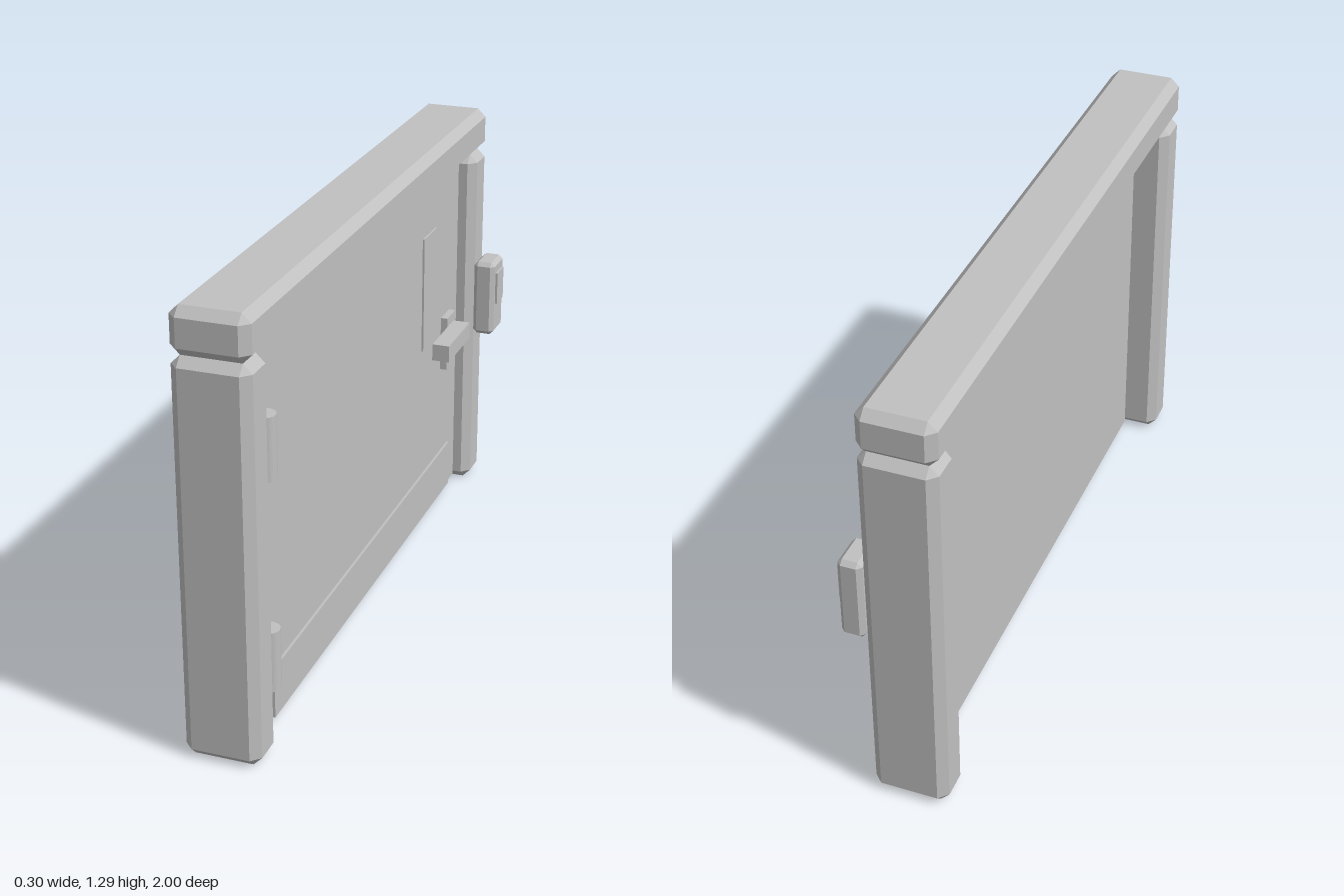
import * as THREE from 'three';
import { ConvexGeometry } from 'three/addons/geometries/ConvexGeometry.js';

// Box between two corners with chamfered edges and corners
function chamferedBox([x0, y0, z0], [x1, y1, z1], c) {
  const center = [(x0 + x1) / 2, (y0 + y1) / 2, (z0 + z1) / 2];
  const half = [(x1 - x0) / 2, (y1 - y0) / 2, (z1 - z0) / 2];
  const points = [];
  for (const sx of [-1, 1]) for (const sy of [-1, 1]) for (const sz of [-1, 1]) {
    const s = [sx, sy, sz];
    // Each corner becomes three points, one on each adjoining face
    for (let face = 0; face < 3; face++) {
      points.push(new THREE.Vector3(...s.map((v, i) => center[i] + v * (half[i] - (i === face ? 0 : c)))));
    }
  }
  return new ConvexGeometry(points);
}

// Plain box between two corners
function box([x0, y0, z0], [x1, y1, z1]) {
  return new THREE.BoxGeometry(x1 - x0, y1 - y0, z1 - z0)
    .translate((x0 + x1) / 2, (y0 + y1) / 2, (z0 + z1) / 2);
}

export function createModel() {
  const model = new THREE.Group();
  model.name = 'door';
  const grey = new THREE.MeshStandardMaterial({ color: 0xc0c0c0 });
  grey.name = 'grey';

  const add = (name, geometry) => {
    const mesh = new THREE.Mesh(geometry, grey);
    mesh.name = name;
    model.add(mesh);
  };

  // Frame
  add('frontPost', chamferedBox([-0.15, 0, 0.87], [0.07, 1.157, 1], 0.026));
  add('backPost', chamferedBox([-0.15, 0, -1], [0.07, 1.157, -0.87], 0.026));
  add('header', chamferedBox([-0.15, 1.157, -1], [0.07, 1.29, 1], 0.026));

  // Door leaf with its thin plates
  const face = 0.02;
  add('doorLeaf', chamferedBox([-0.05, 0.01, -0.868], [face, 1.15, 0.868], 0.014));
  add('windowPlate', box([face, 0.62, -0.615], [0.026, 0.995, -0.49]));
  add('kickPlate', box([face, 0.025, -0.775], [0.028, 0.18, 0.78]));

  // Lever handle
  add('handlePlate', box([face, 0.48, -0.775], [0.042, 0.66, -0.69]));
  add('handleLever', box([0.042, 0.575, -0.757], [0.098, 0.63, -0.535]));

  // Hinge barrels
  for (const y of [0.27, 0.89]) {
    add('hinge', new THREE.CylinderGeometry(0.033, 0.033, 0.18, 16).translate(0.049, y, 0.864));
  }

  // Access reader on the back post
  add('reader', chamferedBox([0.07, 0.542, -0.995], [0.14, 0.795, -0.88], 0.013));
  add('readerScreen', box([0.139, 0.65, -0.972], [0.147, 0.757, -0.902]));

  return model;
}
